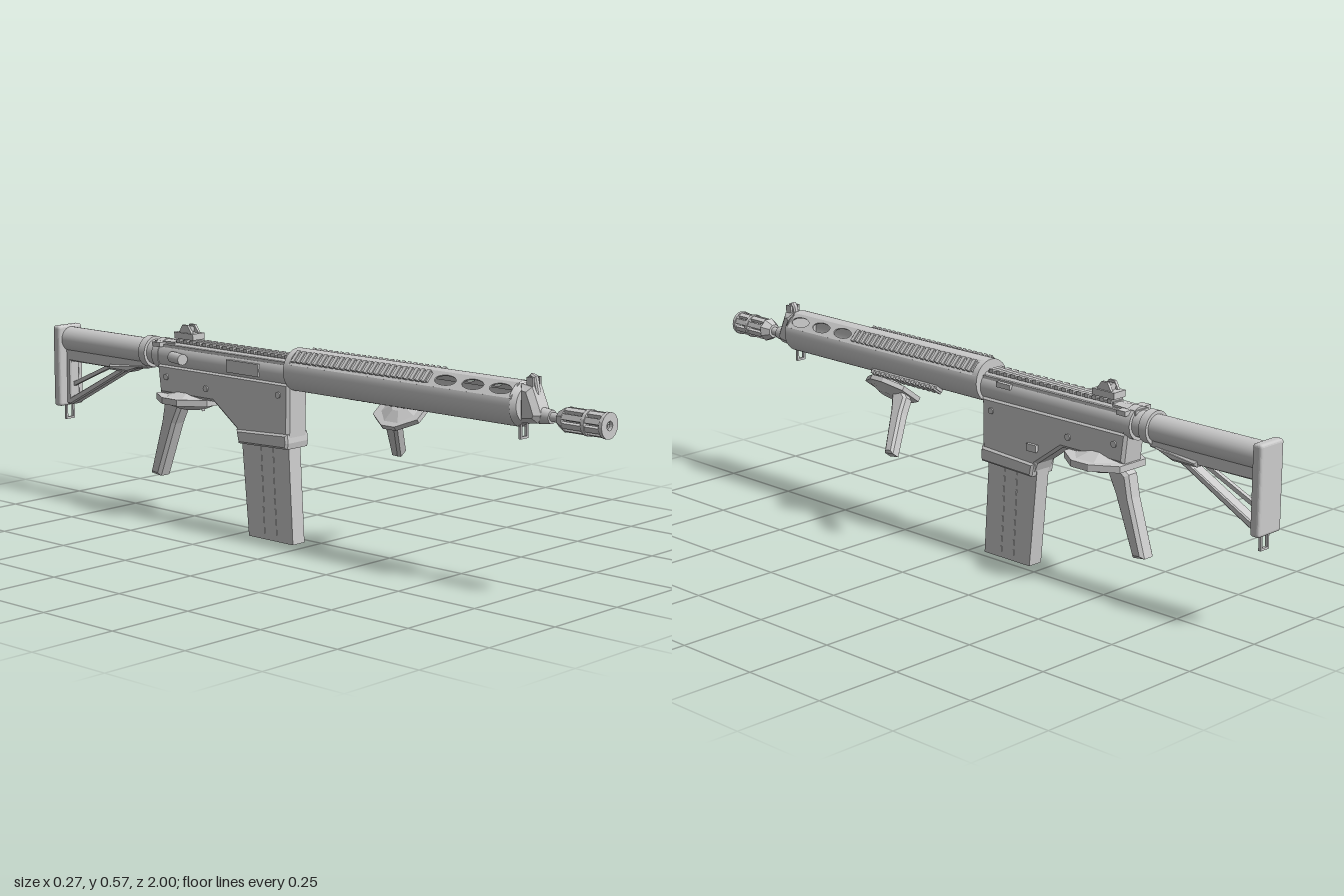
import * as THREE from 'three';
import { RoundedBoxGeometry } from 'three/addons/geometries/RoundedBoxGeometry.js';

const mat = new THREE.MeshStandardMaterial({ color: 0xcccccc, flatShading: true });
const smooth = new THREE.MeshStandardMaterial({ color: 0xcccccc, side: THREE.DoubleSide });
const rad = THREE.MathUtils.degToRad;

function add(parent, name, geo, x = 0, y = 0, z = 0, m = mat) {
  const mesh = new THREE.Mesh(geo, m);
  mesh.name = name;
  mesh.position.set(x, y, z);
  parent.add(mesh);
  return mesh;
}
const box = (parent, name, w, h, d, x, y, z) => add(parent, name, new THREE.BoxGeometry(w, h, d), x, y, z);

// Cylinder along z from z0 (front) to z1 (back)
function rod(parent, name, rFront, rBack, z0, z1, y, n = 24, x = 0) {
  const g = new THREE.CylinderGeometry(rFront, rBack, z0 - z1, n);
  if (n <= 8) g.rotateY(Math.PI / n);
  g.rotateX(Math.PI / 2);
  return add(parent, name, g, x, y, (z0 + z1) / 2, n > 8 ? smooth : mat);
}

// Side profile given as [z, y] points, extruded across x
function profile(parent, name, pts, width, bevel = 0, hole = null) {
  const toVec = (p) => p.map(([a, b]) => new THREE.Vector2(a, b));
  const shape = new THREE.Shape(toVec(pts));
  if (hole) shape.holes.push(new THREE.Path(toVec(hole)));
  const depth = width - 2 * bevel;
  const g = new THREE.ExtrudeGeometry(shape, {
    depth, bevelEnabled: bevel > 0, bevelSize: bevel, bevelOffset: -bevel, bevelThickness: bevel, bevelSegments: 1,
  });
  g.translate(0, 0, -depth / 2).rotateY(-Math.PI / 2);
  return add(parent, name, g);
}

// Toothed rail with its base at y
function rail(parent, name, w, y, h, z0, z1, step) {
  const g = new THREE.Group();
  g.name = name;
  box(g, 'railBase', w * 0.8, h, z0 - z1, 0, y + h / 2, (z0 + z1) / 2);
  const n = Math.round((z0 - z1) / step);
  for (let i = 0; i < n; i++) {
    box(g, 'railTooth', w, h * 0.8, step * 0.55, 0, y + h, z0 - ((i + 0.5) * (z0 - z1)) / n);
  }
  parent.add(g);
  return g;
}

// Square wire loop for a sling
function slingLoop(parent, y, z, w, h) {
  for (const s of [-1, 1]) box(parent, 'slingLoopSide', 0.006, h, 0.008, s * w / 2, y, z);
  box(parent, 'slingLoopBar', w + 0.006, 0.006, 0.008, 0, y - h / 2, z);
}

// Winged hand stop with a raked handle, origin at the top of the wing plate
function grip(name) {
  const g = new THREE.Group();
  g.name = name;
  const wing = new THREE.Shape([[-0.095, -0.03], [-0.05, -0.1], [0.05, -0.1], [0.095, -0.03],
    [0.095, 0.03], [0.045, 0.1], [-0.045, 0.1], [-0.095, 0.03]].map(([x, y]) => new THREE.Vector2(x, y)));
  add(g, 'wingPlate', new THREE.ExtrudeGeometry(wing, { depth: 0.018, bevelEnabled: false }).rotateX(Math.PI / 2));
  const under = new THREE.CylinderGeometry(0.088, 0.04, 0.02, 8).rotateY(Math.PI / 8);
  add(g, 'wingUnderside', under, 0, -0.028, 0);
  const top = new THREE.CylinderGeometry(0.035, 0.08, 0.016, 8).rotateY(Math.PI / 8);
  add(g, 'wingTop', top, 0, 0.008, 0);
  profile(g, 'handle', [[0.0, -0.015], [-0.07, -0.01], [-0.1, -0.03], [-0.112, -0.09],
    [-0.16, -0.245], [-0.12, -0.25], [-0.058, -0.09], [-0.03, -0.035]], 0.05, 0.009);
  return g;
}

export function createModel() {
  const model = new THREE.Group();
  model.name = 'rifle';
  model.position.x = -0.047;

  // Slotted muzzle piece and barrel
  const mY = 0.463;
  rod(model, 'barrel', 0.012, 0.012, 0.985, -0.04, mY, 16);
  rod(model, 'muzzleBase', 0.034, 0.02, 0.875, 0.85, mY, 8);
  for (const z of [1, 0.945]) {
    const ring = new THREE.Shape().absarc(0, 0, 0.034, 0, Math.PI * 2);
    ring.holes.push(new THREE.Path().absarc(0, 0, 0.012, 0, Math.PI * 2));
    const g = new THREE.ExtrudeGeometry(ring, { depth: 0.01, bevelEnabled: false, curveSegments: 8 });
    add(model, 'muzzleRing', g.rotateZ(Math.PI / 8), 0, mY, z - 0.01);
  }
  for (let i = 0; i < 8; i++) {
    const a = (i + 0.5) * Math.PI / 4;
    const bar = box(model, 'muzzleBar', 0.015, 0.01, 0.125, Math.sin(a) * 0.026, mY + Math.cos(a) * 0.026, 0.9375);
    bar.rotation.z = -a;
  }
  rod(model, 'barrelCollar', 0.018, 0.022, 0.825, 0.79, mY, 16);

  // Front sight block
  profile(model, 'sightBlock', [[0.74, 0.44], [0.795, 0.445], [0.805, 0.465], [0.795, 0.49],
    [0.775, 0.535], [0.74, 0.54]], 0.066, 0.014);
  profile(model, 'frontSightPost', [[0.745, 0.53], [0.785, 0.515], [0.775, 0.56], [0.76, 0.566], [0.75, 0.555]], 0.018, 0.004);
  for (const s of [-1, 1]) box(model, 'frontSightEar', 0.006, 0.025, 0.02, s * 0.014, 0.545, 0.765);
  slingLoop(model, 0.42, 0.735, 0.024, 0.04);

  // Handguard: round shell with two flat upper panels
  const hY = 0.486, hR = 0.059, z0 = 0.735, z1 = -0.035, len = z0 - z1;
  for (const [from, sweep] of [[-110, 220], [160, 40]]) {
    const g = new THREE.CylinderGeometry(hR, hR, len, 32, 1, true, rad(from), rad(sweep));
    add(model, 'handguardShell', g.rotateX(Math.PI / 2), 0, hY, (z0 + z1) / 2, smooth);
  }
  rod(model, 'handguardFrontCap', hR - 0.012, hR - 0.001, z0 + 0.012, z0 - 0.005, hY, 32);
  rod(model, 'handguardRearCap', hR, hR, z1 + 0.012, z1 - 0.008, hY, 32);
  for (const s of [-1, 1]) {
    const sideGroup = new THREE.Group();
    sideGroup.name = 'upperPanel';
    const w = 0.025;
    const panel = new THREE.Shape([[-w, z1], [w, z1], [w, z0], [-w, z0]].map(([x, y]) => new THREE.Vector2(x, y)));
    for (const z of [0.51, 0.6, 0.69]) panel.holes.push(new THREE.Path().absellipse(0, z, 0.016, 0.035, 0, Math.PI * 2));
    const g = new THREE.ExtrudeGeometry(panel, { depth: 0.004, bevelEnabled: false, curveSegments: 12 });
    add(sideGroup, 'ventedPanel', g.rotateX(Math.PI / 2), 0, 0.0535, 0);
    rail(sideGroup, 'upperRail', 0.038, 0.052, 0.008, 0.46, -0.02, 0.02);
    sideGroup.position.y = hY;
    sideGroup.rotation.z = -s * Math.PI / 4;
    model.add(sideGroup);
  }

  // Foregrip on its tilted lower rail
  const lower = rail(model, 'lowerRail', 0.034, 0.055, 0.012, 0.38, 0.12, 0.02);
  lower.position.y = hY;
  lower.rotation.z = Math.PI + rad(36);
  const fore = grip('foregrip');
  fore.scale.setScalar(0.76);
  fore.position.set(0.054, 0.414, 0.285);
  fore.rotation.z = rad(36);
  model.add(fore);

  // Upper receiver with top rail
  rod(model, 'upperReceiver', 0.043, 0.043, -0.04, -0.55, 0.474, 24);
  box(model, 'receiverShoulder', 0.07, 0.04, 0.5, 0, 0.487, -0.295);
  rail(model, 'topRail', 0.046, 0.506, 0.013, -0.05, -0.5, 0.026);
  box(model, 'boltCover', 0.012, 0.035, 0.12, -0.042, 0.475, -0.21);
  box(model, 'boltHandle', 0.014, 0.014, 0.05, 0.04, 0.495, -0.13);
  const knob = rod(model, 'assistKnob', 0.016, 0.016, -0.43, -0.49, 0.476, 12, -0.052);
  knob.rotation.y = rad(-15);
  profile(model, 'chargingHandle', [[-0.5, 0.495], [-0.5, 0.515], [-0.58, 0.512], [-0.58, 0.5]], 0.05);
  box(model, 'chargingLatch', 0.1, 0.013, 0.03, 0, 0.506, -0.55);

  // Rear sight
  box(model, 'rearSightBase', 0.046, 0.018, 0.075, 0, 0.535, -0.465);
  for (const s of [-1, 1]) profile(model, 'rearSightEar', [[-0.435, 0.54], [-0.49, 0.54], [-0.475, 0.566], [-0.455, 0.566]], 0.008)
    .position.x = s * 0.014;
  rod(model, 'rearSightDrum', 0.01, 0.01, -0.455, -0.48, 0.553, 12);

  // Lower receiver, magazine well and magazine
  profile(model, 'lowerReceiver', [[-0.042, 0.45], [-0.045, 0.285], [-0.235, 0.275], [-0.245, 0.3],
    [-0.335, 0.365], [-0.55, 0.365], [-0.56, 0.45]], 0.078, 0.008);
  profile(model, 'wellCollar', [[-0.043, 0.285], [-0.046, 0.268], [-0.232, 0.262], [-0.24, 0.3], [-0.046, 0.31]], 0.09, 0.006);
  profile(model, 'magazine', [[-0.058, 0.3], [-0.041, 0], [-0.21, 0], [-0.238, 0.3]], 0.046);
  for (const s of [-1, 1]) {
    for (const z of [-0.105, -0.15]) {
      for (let i = 0; i < 9; i++) {
        box(model, 'magazineSlot', 0.003, 0.016, 0.005, s * 0.0235, 0.025 + i * 0.029, z - i * 0.0015);
      }
    }
    const pin = new THREE.CylinderGeometry(0.009, 0.009, 0.006, 12).rotateZ(Math.PI / 2);
    for (const [y, z] of [[0.415, -0.08], [0.4, -0.36], [0.415, -0.52]]) add(model, 'receiverPin', pin, s * 0.04, y, z);
  }
  box(model, 'magazineCatch', 0.012, 0.02, 0.035, 0.042, 0.345, -0.235);
  profile(model, 'trigger', [[-0.405, 0.37], [-0.42, 0.37], [-0.42, 0.34], [-0.41, 0.325], [-0.412, 0.345]], 0.012);

  // Rear grip
  const rear = grip('rearGrip');
  rear.position.set(0.006, 0.366, -0.457);
  model.add(rear);

  // Stock with tube, open triangular frame and butt plate
  rod(model, 'stockTube', 0.036, 0.036, -0.54, -0.975, 0.474, 24);
  rod(model, 'stockNut', 0.045, 0.045, -0.55, -0.575, 0.474, 24);
  rod(model, 'stockRing', 0.045, 0.045, -0.605, -0.63, 0.474, 24);
  profile(model, 'stockFrame', [[-0.61, 0.45], [-0.975, 0.45], [-0.975, 0.28], [-0.955, 0.28],
    [-0.7, 0.415], [-0.62, 0.425]], 0.036, 0.004, [[-0.745, 0.41], [-0.955, 0.41], [-0.955, 0.302]]);
  profile(model, 'stockStrut', [[-0.8, 0.415], [-0.96, 0.345], [-0.96, 0.332], [-0.785, 0.41]], 0.012);
  profile(model, 'stockLever', [[-0.64, 0.43], [-0.78, 0.42], [-0.78, 0.405], [-0.7, 0.405]], 0.05, 0.006);
  add(model, 'buttPlate', new RoundedBoxGeometry(0.09, 0.24, 0.03, 2, 0.008), 0, 0.395, -0.985);
  slingLoop(model, 0.258, -0.982, 0.026, 0.045);

  return model;
}
